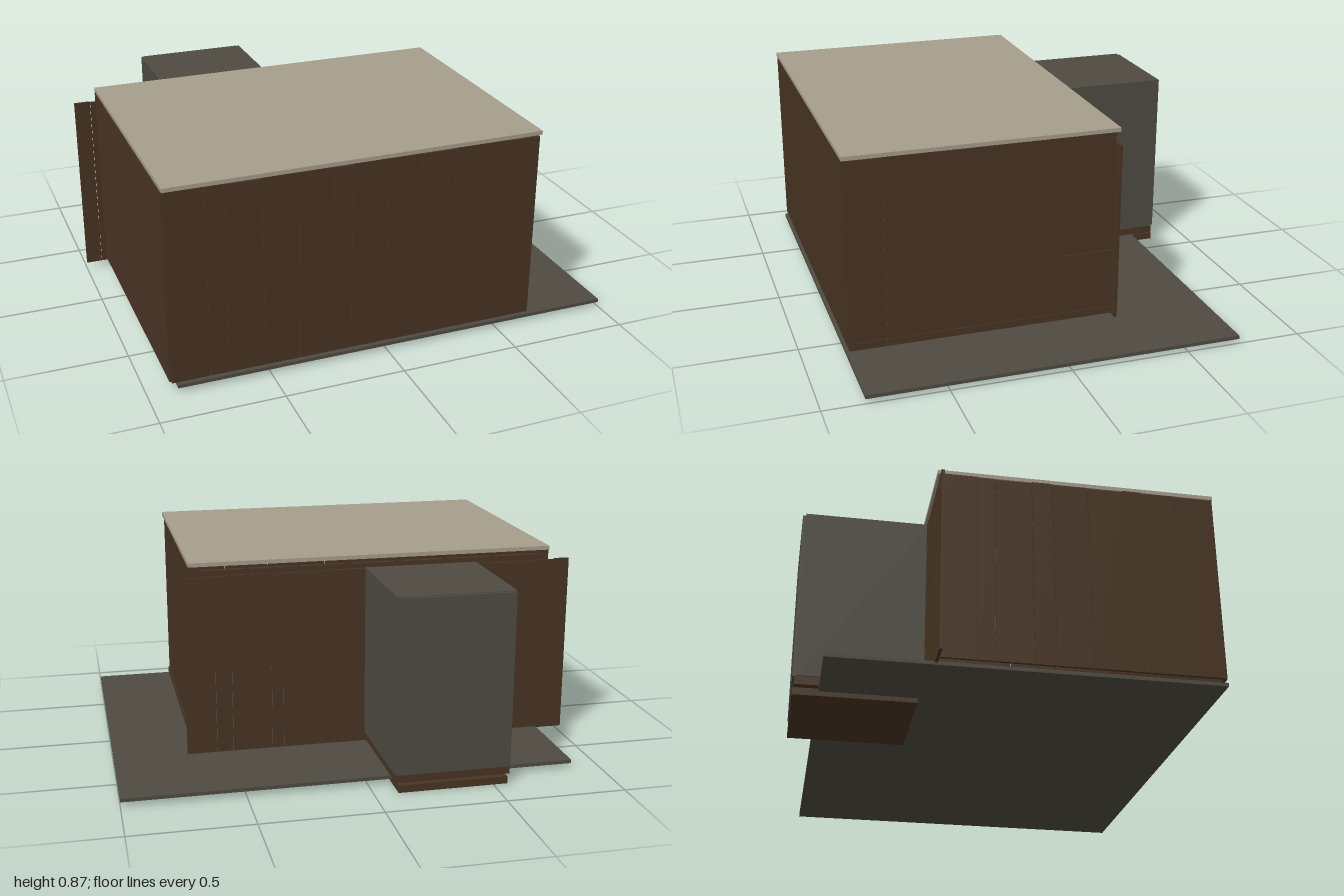
import * as THREE from 'three';

export function createModel() {
  const model = new THREE.Group();
  model.name = 'plankShed';

  const material = (name, color) => {
    const m = new THREE.MeshStandardMaterial({ color });
    m.name = name;
    return m;
  };
  const wood = material('darkWood', 0x483423);
  const roofMat = material('paleRoof', 0xa79e8c);
  const slate = material('slateGrey', 0x4f4b42);

  // Box given by its minimum and maximum corners
  const block = (name, mat, x0, x1, y0, y1, z0, z1, parent = model) => {
    const mesh = new THREE.Mesh(new THREE.BoxGeometry(x1 - x0, y1 - y0, z1 - z0), mat);
    mesh.position.set((x0 + x1) / 2, (y0 + y1) / 2, (z0 + z1) / 2);
    mesh.name = name;
    parent.add(mesh);
    return mesh;
  };

  // Row of upright planks between neighbouring edges, with narrow gaps
  const plankWall = (name, edges, axis, at, y0, y1, thick = 0.012) => {
    const wall = new THREE.Group();
    wall.name = name;
    model.add(wall);
    for (let i = 0; i < edges.length - 1; i++) {
      const a = edges[i] + 0.0015, b = edges[i + 1] - 0.0015;
      const top = y1 - (i % 3) * 0.003;
      if (axis === 'x') block('plank', wood, a, b, y0, top, at, at + thick, wall);
      else block('plank', wood, at, at + thick, y0, top, a, b, wall);
    }
  };

  // Ground slab and flat roof
  block('groundSlab', slate, -0.88, 1, 0.02, 0.035, -0.73, 0.83);
  block('roof', roofMat, -0.905, 0.663, 0.849, 0.866, -0.32, 0.82);

  // Front and side walls
  plankWall('frontWall',
    [-0.903, -0.745, -0.67, -0.52, -0.375, -0.23, -0.155, -0.005, 0.14, 0.285, 0.36, 0.505, 0.655],
    'x', 0.806, 0.04, 0.849);
  plankWall('leftWall', [-0.09, 0.06, 0.285, 0.435, 0.515, 0.66, 0.806], 'z', 0.643, 0.04, 0.849);
  plankWall('leftWallUpper', [-0.305, -0.165, -0.09], 'z', 0.643, 0.33, 0.849);
  plankWall('leftWallLower', [-0.305, -0.09], 'z', 0.643, 0.04, 0.327);
  plankWall('rightWall', [-0.305, -0.16, -0.09, 0.06, 0.145, 0.29, 0.435, 0.515, 0.66, 0.806],
    'z', -0.908, 0.04, 0.849);

  // Back wall on either side of the annex, running past the side walls
  plankWall('backWallRight', [-1, -0.93, -0.83, -0.615, -0.565], 'x', -0.318, 0.03, 0.807);
  plankWall('backWallLeft', [-0.095, 0.1, 0.27, 0.32, 0.49, 0.56, 0.69], 'x', -0.318, 0.03, 0.807);

  // Trim on the left wall
  block('baseRail', wood, 0.655, 0.66, 0.045, 0.073, -0.3, 0.805);
  block('ledge', wood, 0.655, 0.662, 0.324, 0.333, -0.3, -0.07);

  // Rails and rafters under the roof
  block('backTopRail', wood, -0.89, 0.64, 0.79, 0.825, -0.295, -0.27);
  block('frontTopRail', wood, -0.89, 0.64, 0.79, 0.825, 0.78, 0.805);
  for (let i = 0; i < 8; i++) {
    const x = -0.88 + i * 0.214;
    block('rafter', wood, x, x + 0.02, 0.825, 0.849, -0.295, 0.805);
  }

  // Grey annex behind the shed, with a door panel, floor and step
  block('annex', slate, -0.575, -0.085, 0.075, 0.81, -0.82, -0.31);
  block('annexDoor', slate, -0.565, -0.095, 0.075, 0.807, -0.834, -0.82);
  block('annexFloor', wood, -0.57, -0.09, 0.04, 0.075, -0.825, -0.31);
  block('annexBase', wood, -0.56, -0.1, 0, 0.031, -0.832, -0.34);
  return model;
}
